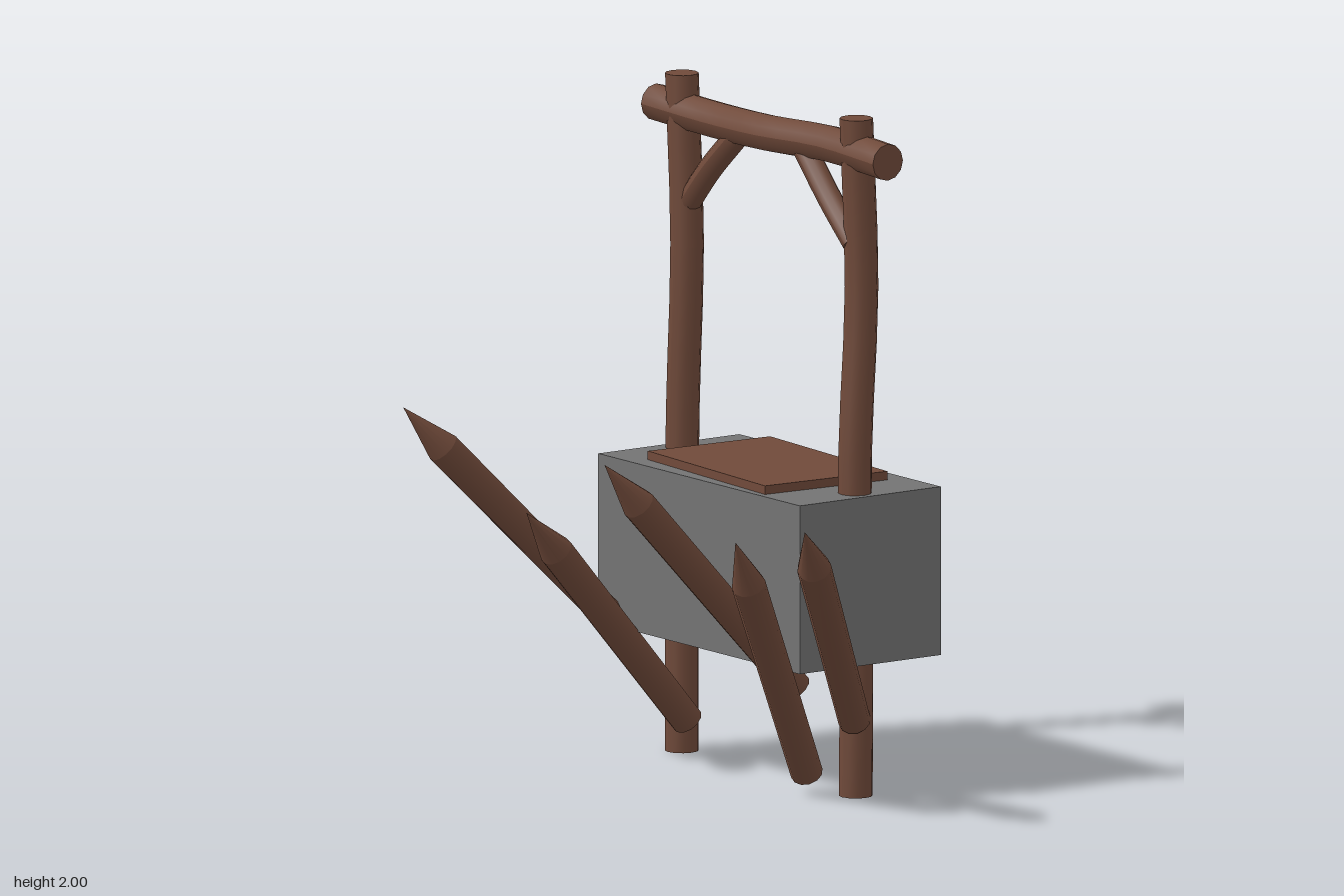
import * as THREE from 'three';

const V = (p) => new THREE.Vector3(...p);
const UP = new THREE.Vector3(0, 1, 0);

// Round log with end caps, following a gentle curve through the given points
function log(name, points, radius, material, endRadius = radius) {
  const pts = points.map(V);
  const curve = new THREE.CatmullRomCurve3(pts);
  const axis = pts[pts.length - 1].clone().sub(pts[0]).normalize();
  const turn = new THREE.Quaternion().setFromUnitVectors(UP, axis);
  const geo = new THREE.CylinderGeometry(endRadius, radius, 1, 12, points.length > 2 ? 12 : 1);
  const pos = geo.attributes.position;
  const v = new THREE.Vector3();
  for (let i = 0; i < pos.count; i++) {
    v.fromBufferAttribute(pos, i);
    const centre = curve.getPoint(THREE.MathUtils.clamp(v.y + 0.5, 0, 1));
    v.setY(0).applyQuaternion(turn).add(centre);
    pos.setXYZ(i, v.x, v.y, v.z);
  }
  geo.computeVertexNormals();
  const mesh = new THREE.Mesh(geo, material);
  mesh.name = name;
  return mesh;
}

// Straight stake with a carved point
function stake(name, foot, tip, material) {
  const radius = 0.05, pointLength = 0.18;
  const a = V(foot), b = V(tip);
  const axis = b.clone().sub(a).normalize();
  const neck = b.clone().addScaledVector(axis, -pointLength);
  const group = new THREE.Group();
  group.name = name;
  group.add(log('shaft', [foot, neck.toArray()], 0.047, material, radius));
  const point = new THREE.Mesh(new THREE.ConeGeometry(radius, pointLength, 12, 1, true), material);
  point.name = 'point';
  point.quaternion.setFromUnitVectors(UP, axis);
  point.position.copy(neck).add(b).multiplyScalar(0.5);
  group.add(point);
  return group;
}

function box(name, size, position, material) {
  const mesh = new THREE.Mesh(new THREE.BoxGeometry(...size), material);
  mesh.name = name;
  mesh.position.set(...position);
  return mesh;
}

export function createModel() {
  const wood = new THREE.MeshStandardMaterial({ name: 'brown wood', color: 0x704a3a });
  const stone = new THREE.MeshStandardMaterial({ name: 'grey stone', color: 0x737373 });
  const model = new THREE.Group();
  model.name = 'stakeBarricadeCounter';

  // Block and the slightly turned board on top
  model.add(box('block', [0.995, 0.497, 0.505], [-0.153, 0.646, -0.332], stone));
  const board = box('board', [0.635, 0.03, 0.42], [-0.16, 0.905, -0.33], wood);
  board.rotation.y = -0.063;
  model.add(board);

  // Uprights and cross beam
  model.add(log('rightPost', [
    [-0.587, 0, -0.333], [-0.587, 0.5, -0.333], [-0.583, 1, -0.333],
    [-0.564, 1.5, -0.335], [-0.587, 2, -0.333]], 0.049, wood));
  model.add(log('leftPost', [
    [0.272, 0, -0.333], [0.274, 0.5, -0.333], [0.276, 1, -0.327],
    [0.274, 1.5, -0.352], [0.274, 2, -0.333]], 0.049, wood));
  model.add(log('crossBeam', [
    [-0.712, 1.895, -0.331], [-0.427, 1.885, -0.339], [-0.142, 1.891, -0.327],
    [0.143, 1.902, -0.339], [0.43, 1.893, -0.333]], 0.054, wood));

  // Bent corner braces
  model.add(log('rightBrace', [
    [-0.565, 1.61, -0.333], [-0.45, 1.735, -0.333], [-0.31, 1.86, -0.333]], 0.036, wood));
  model.add(log('leftBrace', [
    [0.265, 1.63, -0.333], [0.145, 1.74, -0.333], [0.02, 1.87, -0.333]], 0.036, wood));

  // Outward-leaning stakes: foot, tip
  const stakes = [
    [[-0.566, 0.395, -0.095], [-0.711, 1.095, 0.575]],
    [[-0.53, 0.1, -0.31], [-0.41, 0.805, 0.352]],
    [[0.2, 0.325, -0.17], [0.2, 1.06, 0.515]],
    [[0.165, 0.06, -0.235], [0.495, 0.848, 0.26]],
    [[0.29, 0.225, -0.315], [0.727, 0.905, 0.18]],
  ];
  stakes.forEach(([foot, tip], i) => model.add(stake(`stake${i + 1}`, foot, tip, wood)));

  return model;
}
